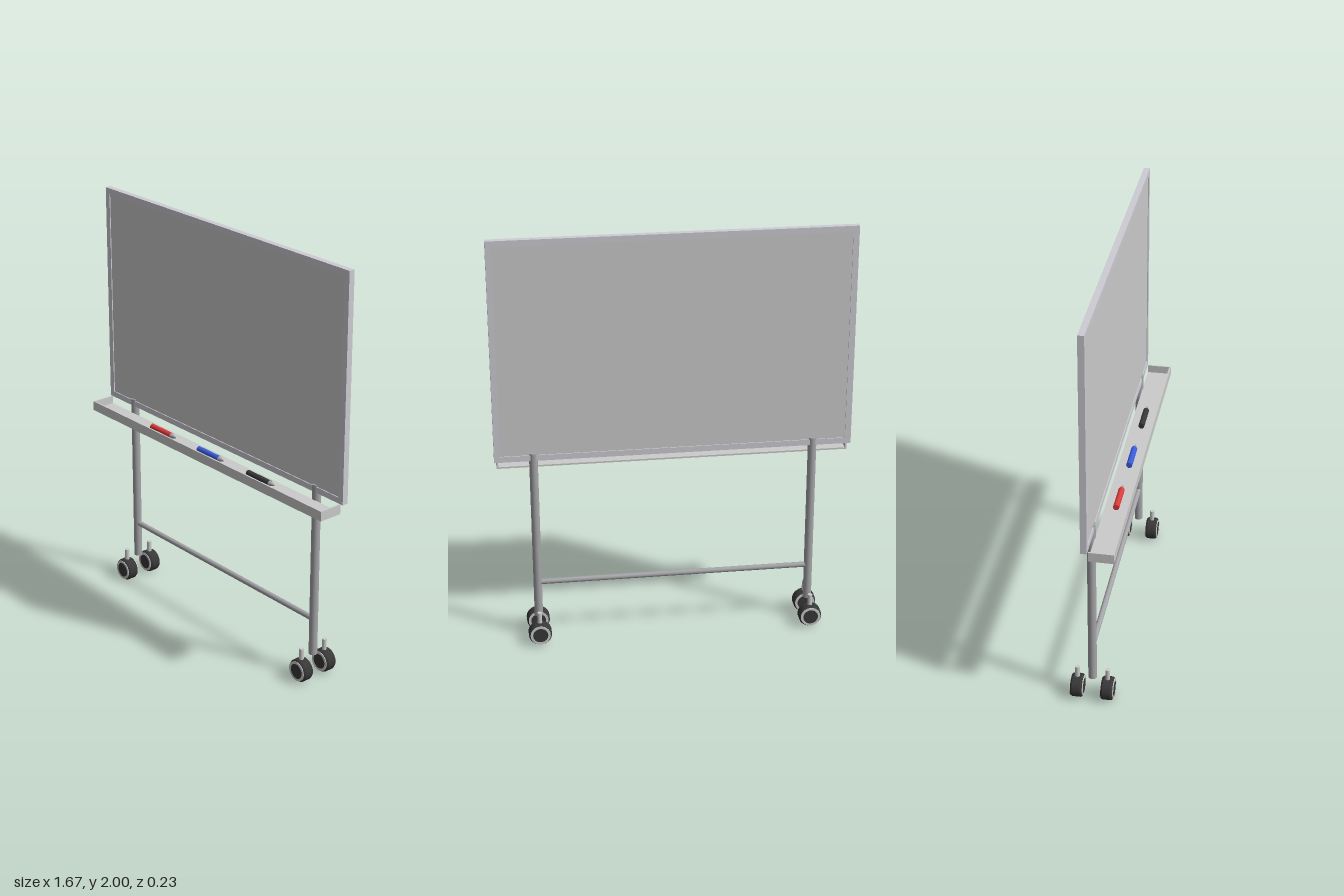
import * as THREE from 'three';

const mat = (color, side = THREE.FrontSide) => new THREE.MeshStandardMaterial({ color, side });
const GREY = mat(0xcccccc), FRAME = mat(0xcecdd4), STEEL = mat(0xa5a5a9), RUBBER = mat(0x383838);
const BOARD_Z = -0.017;

function add(parent, name, geometry, material, x = 0, y = 0, z = 0) {
  const mesh = new THREE.Mesh(geometry, material);
  mesh.name = name;
  mesh.position.set(x, y, z);
  parent.add(mesh);
  return mesh;
}

const group = (parent, name, x = 0, y = 0, z = 0) => {
  const g = new THREE.Group();
  g.name = name;
  g.position.set(x, y, z);
  parent.add(g);
  return g;
};

// Closed ring around z from [radius, z] points, sharp at every corner
function ring(points) {
  const g = new THREE.LatheGeometry(points.map(([r, z]) => new THREE.Vector2(r, z)), 32);
  return g.rotateX(Math.PI / 2);
}

// Frame with a slightly recessed writing panel on both sides
function addBoard(parent) {
  const board = group(parent, 'board', 0, 1.4675, BOARD_Z);
  const w = 0.835, h = 0.5325, b = 0.028, t = 0.029;
  const rect = (Type, x, y) => new Type([[-x, -y], [x, -y], [x, y], [-x, y]].map(p => new THREE.Vector2(...p)));
  const outline = rect(THREE.Shape, w, h);
  outline.holes.push(rect(THREE.Path, w - b, h - b));
  const frame = new THREE.ExtrudeGeometry(outline, { depth: t, bevelEnabled: false });
  add(board, 'boardFrame', frame.translate(0, 0, -t / 2), FRAME);
  add(board, 'writingPanel', new THREE.BoxGeometry(2 * (w - b), 2 * (h - b), 0.02), GREY);
}

// Tray: floor, front lip and ends, open at the back
function addTray(parent) {
  const tray = group(parent, 'penTray');
  const w = 0.824, z0 = 0, z1 = 0.115, y0 = 0.89, y1 = 0.936, t = 0.008;
  const yc = (y0 + y1) / 2, zc = (z0 + z1) / 2;
  add(tray, 'trayFloor', new THREE.BoxGeometry(2 * w, t, z1 - z0), GREY, 0, y0 + t / 2, zc);
  add(tray, 'trayLip', new THREE.BoxGeometry(2 * w, y1 - y0, t), GREY, 0, yc, z1 - t / 2);
  for (const s of [-1, 1])
    add(tray, 'trayEnd', new THREE.BoxGeometry(t, y1 - y0, z1 - z0), GREY, s * (w - t / 2), yc, zc);
}

// Marker lying along x with a tapered tip
function addMarker(parent, name, color, x) {
  const marker = group(parent, name, x, 0.912, 0.054);
  const body = new THREE.CylinderGeometry(0.014, 0.014, 0.148, 20).rotateZ(-Math.PI / 2);
  const tip = new THREE.CylinderGeometry(0.003, 0.013, 0.032, 20).rotateZ(-Math.PI / 2);
  add(marker, 'markerBody', body, mat(color), 0.074);
  add(marker, 'markerTip', tip, STEEL, 0.164);
}

// Caster: chamfered tyre, pale rim on both faces, dark hub and a stem
function addCaster(parent, x, z) {
  const caster = group(parent, 'caster', x, 0.057, z);
  const R = 0.055, d = 0.029;
  const tyre = [[0, -d], [0.046, -d], [0.046, -d], [0.051, -0.026], [R, -0.018], [R, -0.018],
    [R, 0.018], [R, 0.018], [0.051, 0.026], [0.046, d], [0.046, d], [0, d]];
  add(caster, 'tyre', ring(tyre), RUBBER);
  const a = d + 0.002;
  for (const s of [-1, 1]) {
    const rim = new THREE.RingGeometry(0.036, 0.048, 32);
    if (s < 0) rim.rotateY(Math.PI);
    add(caster, 'rim', rim, GREY, 0, 0, s * a);
    const edge = new THREE.CylinderGeometry(0.048, 0.048, 0.004, 32, 1, true).rotateX(Math.PI / 2);
    add(caster, 'rimEdge', edge, GREY, 0, 0, s * (a - 0.002));
  }
  add(caster, 'stem', new THREE.CylinderGeometry(0.011, 0.011, 0.06, 20), GREY, 0, 0.078, 0);
}

export function createModel() {
  const model = new THREE.Group();
  model.name = 'mobileWhiteboard';
  addBoard(model);
  addTray(model);
  addMarker(model, 'redMarker', 0xdd3a3a, -0.43);
  addMarker(model, 'blueMarker', 0x3a5cdd, -0.078);
  addMarker(model, 'blackMarker', 0x383838, 0.274);

  // Legs, each with a front and a back caster
  for (const s of [-1, 1]) {
    const x = s * 0.654;
    add(model, 'leg', new THREE.CylinderGeometry(0.02, 0.02, 0.855, 24), STEEL, x, 0.5425, BOARD_Z);
    for (const dz of [-0.071, 0.071]) addCaster(model, x, BOARD_Z + dz);
  }

  // Crossbar between the legs
  const bar = new THREE.CylinderGeometry(0.013, 0.013, 1.29, 20).rotateZ(Math.PI / 2);
  add(model, 'crossbar', bar, STEEL, 0, 0.294, BOARD_Z);
  return model;
}
